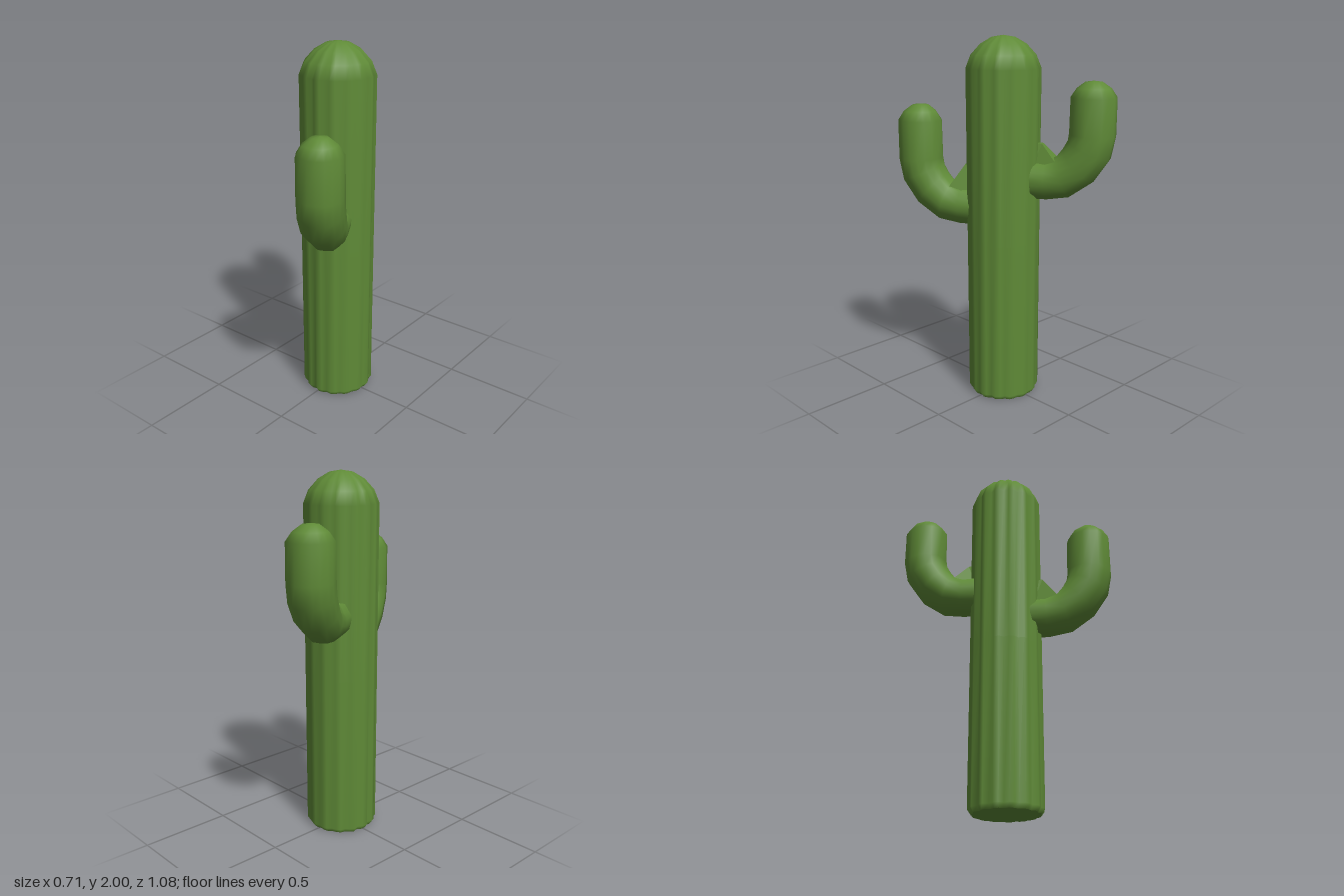
import * as THREE from 'three';

const green = new THREE.MeshStandardMaterial({ color: 0x5f8a37 });
green.name = 'cactus green';

// Ribbed sweep in the XY plane; each ring is [x, y, tangent angle in degrees, radius].
function ribbedSweep(rings, ribs, sidesPerRib, groove) {
  const n = ribs * sidesPerRib, pos = [], index = [];
  rings.forEach(([x, y, deg, r], k) => {
    const t = THREE.MathUtils.degToRad(deg);
    for (let i = 0; i < n; i++) {
      const a = (i / n) * Math.PI * 2;
      const notch = i % sidesPerRib === 0 ? groove : 0;
      const wobble = 0.015 * Math.sin(i * 2.3 + 1);
      const q = r * (1 - notch + wobble);
      pos.push(x + q * Math.cos(a) * Math.sin(t), y - q * Math.cos(a) * Math.cos(t), q * Math.sin(a));
      if (k === rings.length - 1) continue;
      const A = k * n + i, B = k * n + ((i + 1) % n);
      index.push(A, A + n, B, B, A + n, B + n);
    }
  });
  const g = new THREE.BufferGeometry();
  g.setAttribute('position', new THREE.Float32BufferAttribute(pos, 3));
  g.setIndex(index);
  g.computeVertexNormals();
  return g;
}

function addMesh(parent, name, geometry) {
  const m = new THREE.Mesh(geometry, green);
  m.name = name;
  parent.add(m);
  return m;
}

// Upturned arm reaching out along local +x, with a wedge above its root.
function makeArm(name, y, shoulder, top, webTop, webEnd, dirX, dirZ) {
  const arm = new THREE.Group();
  arm.name = name;
  addMesh(arm, name + 'Limb', ribbedSweep([
    [0.06, y, 0, 0.108],
    [0.24, y, 3, 0.108],
    [0.33, y + 0.02, 20, 0.115],
    [0.41, y + 0.085, 45, 0.121],
    [0.465, y + 0.17, 68, 0.124],
    [0.48, y + 0.25, 87, 0.124],
    [0.482, shoulder, 90, 0.122],
    [0.482, shoulder + (top - shoulder) * 0.55, 90, 0.09],
    [0.48, top - 0.006, 90, 0.045],
    [0.48, top, 90, 0.0005],
  ], 9, 2, 0.05));

  // Wedge blending the arm into the trunk, narrowing outward
  const web = new THREE.Shape([[0.14, y], [0.3, y], [0.3, webEnd], [0.215, webTop], [0.14, webTop]]
    .map(([px, py]) => new THREE.Vector2(px, py)));
  const g = new THREE.ExtrudeGeometry(web, { depth: 0.12, bevelEnabled: false });
  g.translate(0, 0, -0.06);
  const p = g.attributes.position;
  for (let i = 0; i < p.count; i++) {
    if (p.getY(i) > webEnd + 0.01) p.setZ(i, p.getZ(i) * 0.3);
  }
  g.computeVertexNormals();
  addMesh(arm, name + 'Root', g);

  arm.rotation.y = -Math.atan2(dirZ, dirX);
  return arm;
}

export function createModel() {
  const cactus = new THREE.Group();
  cactus.name = 'cactus';

  // Trunk with flat base (doubled ring keeps its edge sharp) and domed top
  const trunk = addMesh(cactus, 'trunk', ribbedSweep([
    [0, 0, 90, 0.0005],
    [0, 0, 90, 0.18],
    [0, 0, 90, 0.18],
    [0, 0.025, 90, 0.197],
    [0, 0.9, 90, 0.198],
    [0, 1.83, 90, 0.2],
    [0, 1.9, 90, 0.172],
    [0, 1.955, 90, 0.122],
    [0, 1.99, 90, 0.062],
    [0, 2, 90, 0.0005],
  ], 15, 3, 0.06));
  trunk.position.x = 0.005;

  cactus.add(makeArm('frontArm', 1.078, 1.54, 1.63, 1.31, 1.185, 0.23, 0.42));
  cactus.add(makeArm('backArm', 1.245, 1.69, 1.775, 1.44, 1.345, -0.235, -0.42));
  return cactus;
}
